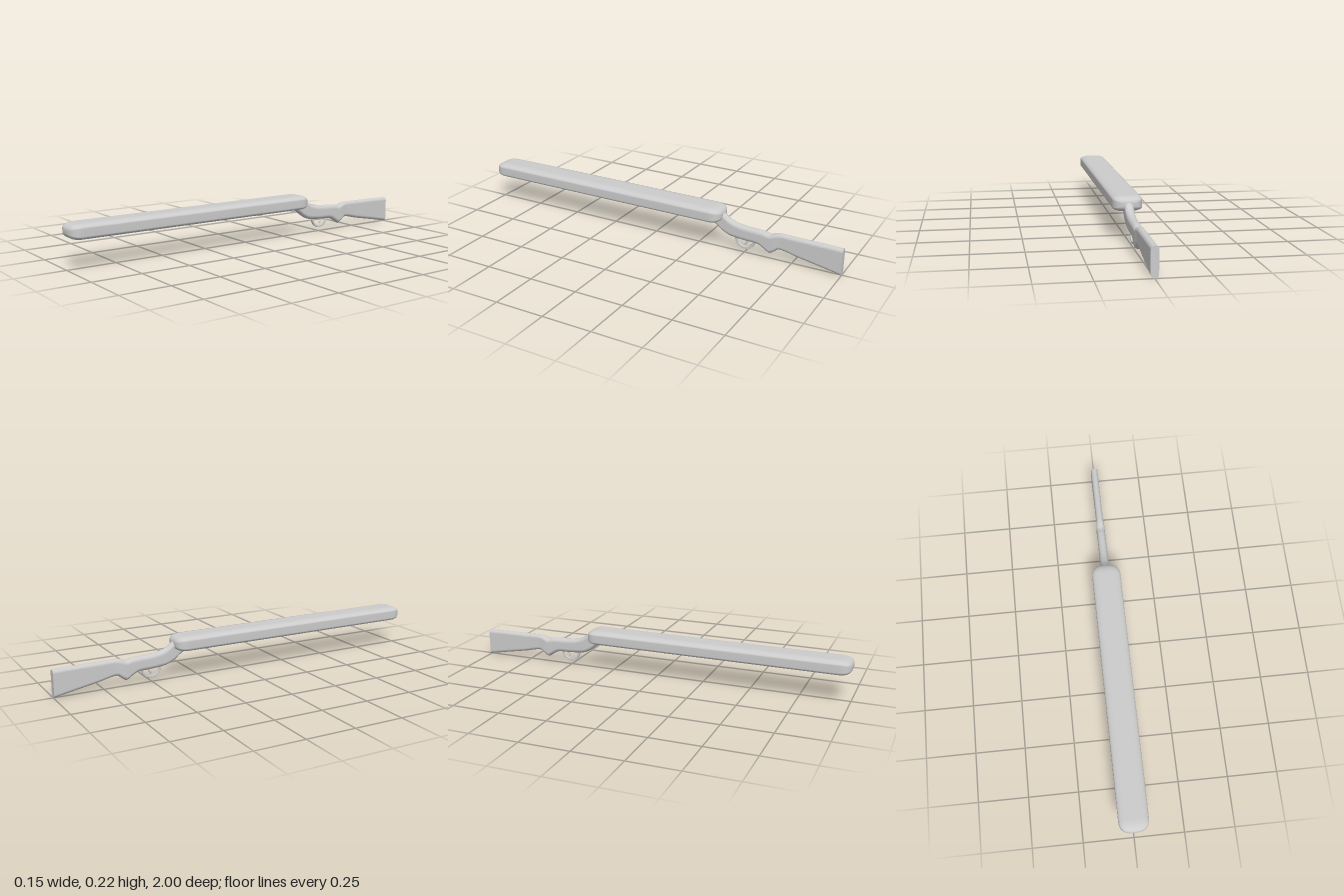
import * as THREE from 'three';

const material = new THREE.MeshStandardMaterial({ color: 0xcccccc, side: THREE.DoubleSide });
const CORNER = 8; // segments per rounded corner

// Rounded rectangle with elliptical corners (cx, cy), counter-clockwise seen from +z
function ring({ z, y, hw, hh, cx, cy }) {
  const points = [];
  for (let q = 0; q < 4; q++) {
    const sx = q === 0 || q === 3 ? 1 : -1;
    const sy = q < 2 ? 1 : -1;
    for (let i = 0; i <= CORNER; i++) {
      const a = (q + i / CORNER) * Math.PI / 2;
      points.push([sx * (hw - cx) + cx * Math.cos(a), y + sy * (hh - cy) + cy * Math.sin(a), z]);
    }
  }
  return points;
}

// Skin through sections running from +z to -z, with flat end caps
function loft(name, sections) {
  const rings = sections.map(ring);
  const n = rings[0].length;
  const positions = rings.flat(2);
  const index = [];
  for (let i = 0; i < rings.length - 1; i++) {
    for (let j = 0; j < n; j++) {
      const a = i * n + j, b = i * n + (j + 1) % n;
      index.push(a, a + n, b, b, a + n, b + n);
    }
  }
  [0, rings.length - 1].forEach((end) => {
    const start = positions.length / 3;
    positions.push(...rings[end].flat(), 0, sections[end].y, sections[end].z);
    for (let j = 0; j < n; j++) {
      const a = start + j, b = start + (j + 1) % n;
      index.push(start + n, ...(end === 0 ? [a, b] : [b, a]));
    }
  });
  const geometry = new THREE.BufferGeometry();
  geometry.setAttribute('position', new THREE.Float32BufferAttribute(positions, 3));
  geometry.setIndex(index);
  geometry.computeVertexNormals();
  return named(name, geometry);
}

function named(name, geometry) {
  const mesh = new THREE.Mesh(geometry, material);
  mesh.name = name;
  return mesh;
}

// Long flat blade, rounded off at both ends
function buildBlade() {
  const section = (z, s) => {
    const hw = 0.008 + 0.065 * s, hh = 0.003 + 0.0345 * s;
    return { z, y: 0.183, hw, hh, cx: hw * 0.6, cy: hh * 0.52 };
  };
  const steps = 14, depth = 0.065;
  const front = [], back = [];
  for (let i = 0; i <= steps; i++) {
    const a = (i / steps) * Math.PI / 2;
    const s = Math.pow(Math.sin(a), 0.8);
    const inset = depth * (1 - Math.pow(Math.cos(a), 0.8));
    front.push(section(1 - inset, s));
    back.unshift(section(-0.385 + inset, s));
  }
  // Extra rings keep the long faces evenly shaded
  const middle = [0.9, 0.6, 0.3, 0, -0.28].map((z) => section(z, 1));
  return loft('blade', [...front, ...middle, ...back]);
}

// Stock: neck, grip with a swell below, and flaring butt
function buildStock() {
  // z, top, bottom
  const outline = [
    [-0.30, 0.18, 0.15], [-0.35, 0.2, 0.122], [-0.378, 0.196, 0.1], [-0.42, 0.167, 0.08],
    [-0.46, 0.153, 0.074], [-0.51, 0.146, 0.07], [-0.575, 0.143, 0.066], [-0.607, 0.14, 0.05],
    [-0.635, 0.135, 0.034], [-0.66, 0.143, 0.048], [-0.682, 0.147, 0.063],
    [-0.78, 0.146, 0.045], [-0.9, 0.145, 0.023], [-1, 0.143, 0.004],
  ].map((p) => new THREE.Vector3(...p));
  const curve = new THREE.CatmullRomCurve3(outline);
  const sections = curve.getPoints(65).map(({ x: z, y: top, z: bottom }) => {
    const hw = 0.022 - 0.004 * THREE.MathUtils.smoothstep(-z, 0.64, 0.7);
    const hh = (top - bottom) / 2;
    return { z, y: (top + bottom) / 2, hw, hh, cx: hw, cy: Math.min(hw, hh) };
  });
  return loft('stock', sections);
}

// Flat strip bent into a half loop under the grip
function buildTriggerGuard() {
  const shape = new THREE.Shape();
  shape.absellipse(0, 0, 0.052, 0.05, Math.PI, Math.PI * 2, false);
  shape.absellipse(0, 0, 0.043, 0.041, Math.PI * 2, Math.PI, true);
  const geometry = new THREE.ExtrudeGeometry(shape, {
    depth: 0.008, bevelEnabled: true, bevelThickness: 0.003, bevelSize: 0.001, bevelSegments: 2, curveSegments: 24,
  });
  geometry.translate(0, 0, -0.004);
  geometry.rotateY(Math.PI / 2);
  geometry.translate(0, 0.075, -0.503);
  return named('triggerGuard', geometry);
}

// Small curved trigger
function buildTrigger() {
  const path = new THREE.CatmullRomCurve3([
    new THREE.Vector3(0, 0.08, -0.515),
    new THREE.Vector3(0, 0.063, -0.514),
    new THREE.Vector3(0, 0.048, -0.502),
  ]);
  return named('trigger', new THREE.TubeGeometry(path, 10, 0.004, 8));
}

export function createModel() {
  const model = new THREE.Group();
  model.name = 'bladeWithStock';
  model.add(buildBlade(), buildStock(), buildTriggerGuard(), buildTrigger());
  return model;
}
